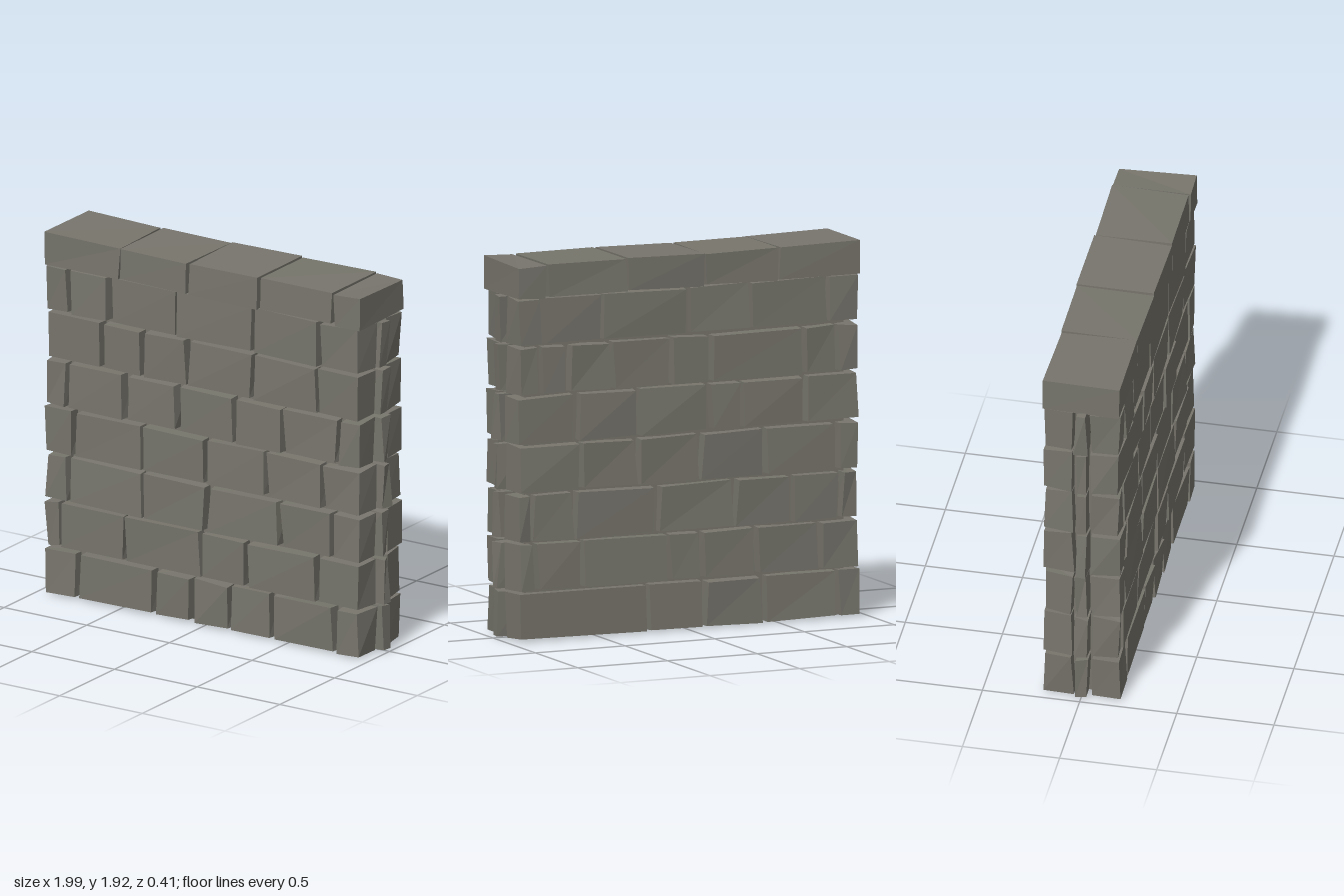
import * as THREE from 'three';

const stone = new THREE.MeshStandardMaterial({ color: 0x77756c });
stone.name = 'greyStone';

// Seeded random in -1..1
let seed = 7;
function rnd() {
  seed = (seed * 16807) % 2147483647;
  return (seed / 2147483647) * 2 - 1;
}

// Rough block: a box whose eight corners are nudged, with faceted normals.
// outer (+1 or -1) marks the z face that is drawn in by taper.
function block(name, [x0, x1], [y0, y1], [z0, z1], jitter, outer = 0, taper = [0, 0]) {
  const box = new THREE.BoxGeometry(x1 - x0, y1 - y0, z1 - z0);
  const p = box.attributes.position;
  const nudges = Array.from({ length: 8 }, () => jitter.map((j) => j * rnd()));
  for (let i = 0; i < p.count; i++) {
    const sx = Math.sign(p.getX(i)), sy = Math.sign(p.getY(i)), sz = Math.sign(p.getZ(i));
    const [dx, dy, dz] = nudges[(sx > 0 ? 1 : 0) + (sy > 0 ? 2 : 0) + (sz > 0 ? 4 : 0)];
    const t = sz === outer ? 1 : 0;
    p.setXYZ(i, p.getX(i) + dx - sx * t * taper[0], p.getY(i) + dy - sy * t * taper[1], p.getZ(i) + dz);
  }
  const geo = box.toNonIndexed();
  geo.computeVertexNormals();
  const mesh = new THREE.Mesh(geo, stone);
  mesh.name = name;
  mesh.position.set((x0 + x1) / 2, (y0 + y1) / 2, (z0 + z1) / 2);
  return mesh;
}

// Joint positions along x for each course, bottom to top
const frontJoints = [
  [-0.76, -0.295, -0.07, 0.165, 0.405, 0.795],
  [-0.87, -0.475, -0.01, 0.26, 0.68],
  [-0.815, -0.365, 0.02, 0.46, 0.78],
  [-0.78, -0.37, 0.01, 0.38, 0.72],
  [-0.82, -0.475, -0.16, 0.19, 0.475, 0.815],
  [-0.61, -0.37, -0.10, 0.30, 0.685],
  [-0.81, -0.57, -0.165, 0.30, 0.70],
];
const backJoints = [
  [-0.83, -0.42, -0.09, 0.22],
  [-0.73, -0.38, -0.08, 0.11, 0.59, 0.85],
  [-0.85, -0.58, -0.26, 0.17, 0.63, 0.87],
  [-0.83, -0.43, -0.07, 0.28, 0.60],
  [-0.65, -0.30, -0.12, 0.27, 0.62],
  [-0.83, -0.65, -0.12, 0.10, 0.43, 0.67, 0.82],
  [-0.78, -0.35, -0.01, 0.48, 0.81],
];
const capJoints = [-0.50, -0.09, 0.34, 0.79];

// One run of blocks between the joints
function course(name, joints, ends, y, z, gap, jitter, outer, taper) {
  const group = new THREE.Group();
  group.name = name;
  const xs = [ends[0], ...joints, ends[1]];
  for (let i = 0; i < xs.length - 1; i++) {
    group.add(block('stone', [xs[i] + gap, xs[i + 1] - gap], y, z, jitter, outer, taper));
  }
  return group;
}

export function createModel() {
  seed = 7;
  const wall = new THREE.Group();
  wall.name = 'stoneWall';

  // Inner core set back behind the joints
  wall.add(block('core', [-0.89, 0.89], [0.01, 1.78], [-0.135, 0.135], [0, 0, 0]));

  // Seven courses: front face, back face and a narrow stone at each end
  const pitch = 0.251;
  const jitter = [0.011, 0.006, 0.009];
  const taper = [0.007, 0.003];
  const ends = [-0.96, 0.955];
  for (let r = 0; r < 7; r++) {
    const y = [r * pitch + 0.011, r * pitch + 0.247];
    wall.add(course('frontCourse', frontJoints[r], ends, y, [0.05, 0.192], 0.008, jitter, 1, taper));
    wall.add(course('backCourse', backJoints[r], ends, y, [-0.192, -0.046], 0.008, jitter, -1, taper));
    for (const s of [-1, 1]) {
      const x = s < 0 ? [-0.98, -0.8] : [0.8, 0.98];
      wall.add(block('endStone', x, y, [-0.028, 0.033], [0.017, 0.007, 0.009]));
    }
  }

  // Capping stones across the full thickness
  wall.add(course('capCourse', capJoints, [-0.962, 0.957], [1.758, 1.922], [-0.198, 0.198], 0.008, [0.008, 0.007, 0.006]));
  return wall;
}
